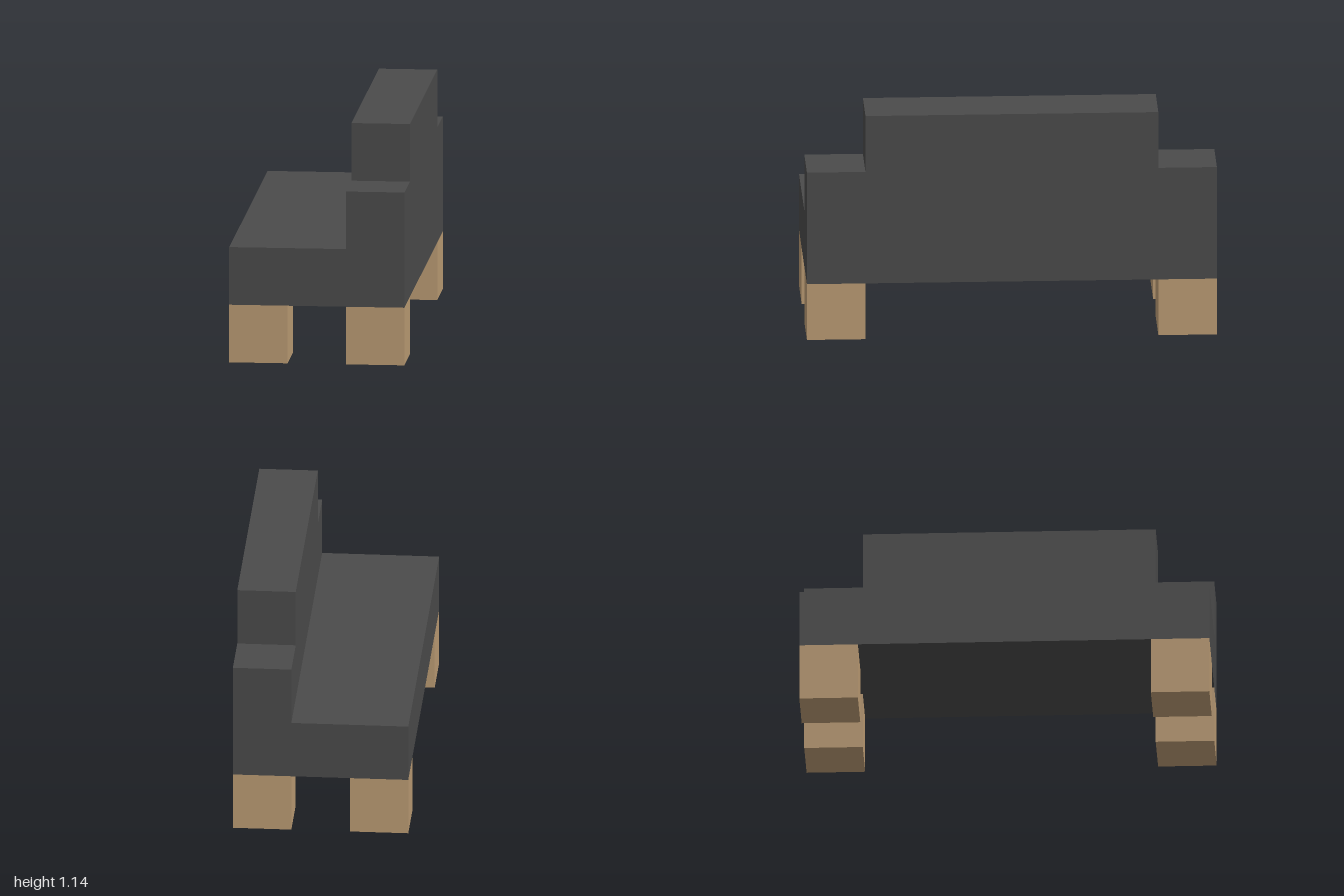
import * as THREE from 'three';

const U = 2 / 7; // the bench is laid out on a grid of seven units along its length

export function createModel() {
  const bench = new THREE.Group();
  bench.name = 'bench';

  const upholstery = new THREE.MeshStandardMaterial({ color: 0x4b4b4b });
  upholstery.name = 'charcoal upholstery';
  const wood = new THREE.MeshStandardMaterial({ color: 0xbc9c74 });
  wood.name = 'light wood';

  const add = (name, geometry, material, x = 0, y = 0, z = 0) => {
    const mesh = new THREE.Mesh(geometry, material);
    mesh.name = name;
    mesh.position.set(x, y, z);
    bench.add(mesh);
  };

  // Seat and lower backrest: one L-shaped profile run along the full length
  const profile = new THREE.Shape(
    [[-1.5, 1], [1.5, 1], [1.5, 3], [0.5, 3], [0.5, 2], [-1.5, 2]]
      .map(([x, y]) => new THREE.Vector2(x * U, y * U)));
  const body = new THREE.ExtrudeGeometry(profile, { depth: 7 * U, bevelEnabled: false });
  add('seatAndBackrest', body, upholstery, 0, 0, -3.5 * U);

  // Raised middle of the backrest
  add('backrestTop', new THREE.BoxGeometry(U, U, 5 * U), upholstery, U, 3.5 * U, 0);

  // Four cube legs, flush with the corners
  const leg = new THREE.BoxGeometry(U, U, U);
  for (const [xName, x] of [['Right', -1], ['Left', 1]]) {
    for (const [zName, z] of [['front', 3], ['back', -3]]) {
      add(`${zName}${xName}Leg`, leg, wood, x * U, U / 2, z * U);
    }
  }

  return bench;
}
